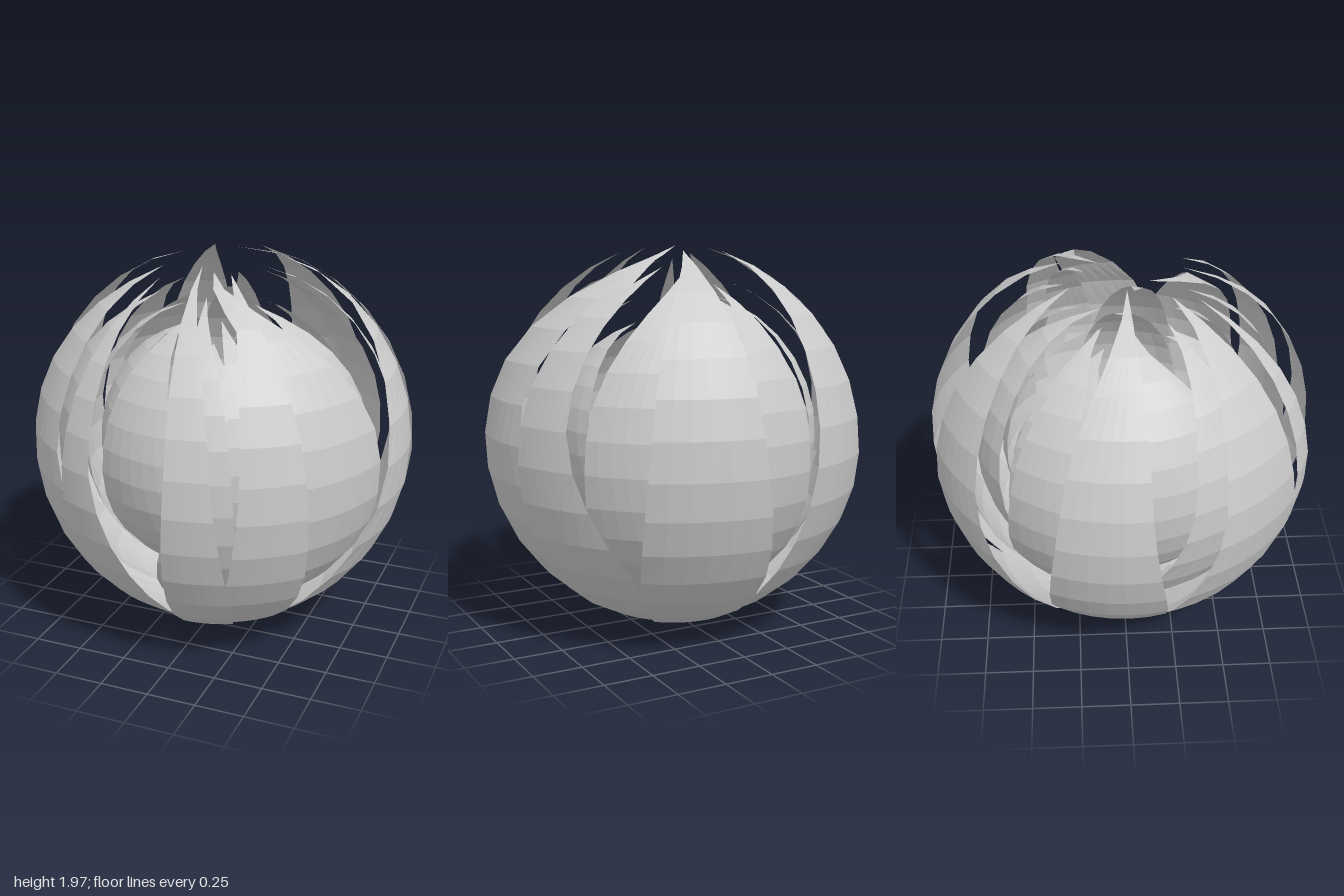
import * as THREE from 'three';

const material = new THREE.MeshStandardMaterial({ color: 0xcccccc, flatShading: true, side: THREE.DoubleSide });
const RAD = Math.PI / 180;
const ROWS = 15, COLS = 6;

// One petal: a spherical strip rising from the bottom pole and narrowing to a tip.
// Azimuths (0 = +x, 90 = +z) of both edges at the base and at the equator,
// then azimuth and polar angle (from the bottom) of the tip.
function petal(name, r, base, equator, tip, tipPolar) {
  const edge = (side, t) => {
    if (t < 90) return THREE.MathUtils.lerp(base[side], equator[side], THREE.MathUtils.smoothstep(t, 15, 105));
    const low = THREE.MathUtils.lerp(base[side], equator[side], THREE.MathUtils.smoothstep(t, 15, 105));
    return THREE.MathUtils.lerp(low, tip, Math.pow((t - 90) / (tipPolar - 90), 2.2));
  };
  const pos = [], index = [];
  for (let i = 0; i <= ROWS; i++) {
    const t = (i / ROWS) * tipPolar;
    const ring = r * Math.sin(t * RAD), y = 1 - r * Math.cos(t * RAD);
    for (let j = 0; j <= COLS; j++) {
      const a = THREE.MathUtils.lerp(edge(0, t), edge(1, t), j / COLS) * RAD;
      pos.push(ring * Math.cos(a), y, ring * Math.sin(a));
      if (i < ROWS && j < COLS) {
        const k = i * (COLS + 1) + j, n = k + COLS + 1;
        index.push(k, n, k + 1, k + 1, n, n + 1);
      }
    }
  }
  const g = new THREE.BufferGeometry();
  g.setAttribute('position', new THREE.Float32BufferAttribute(pos, 3));
  g.setIndex(index);
  g.computeVertexNormals();
  const mesh = new THREE.Mesh(g, material);
  mesh.name = name;
  return mesh;
}

// Layers from outside to inside: [radius, base, equator, tip azimuth, tip polar angle]
const LAYERS = {
  outerPetals: [
    [0.98, [-40, 42], [-13, 13], -70, 173],
    [0.99, [38, 72], [46, 64], 62, 160],
    [1.0, [62, 91], [72, 84], 88, 163],
    [0.98, [89, 130], [109, 120], 118, 156],
    [0.98, [92, 172], [124, 152], 135, 161],
    [0.98, [160, 215], [174, 200], 176, 168],
    [0.99, [208, 262], [228, 253], 240, 163],
    [1.0, [258, 312], [273, 303], 288, 162],
    [0.99, [300, 348], [328, 345], 305, 164],
  ],
  middlePetals: [
    [0.9, [0, 62], [10, 46], 90, 172],
    [0.88, [60, 105], [66, 82], 82, 158],
    [0.86, [125, 185], [132, 158], 140, 158],
    [0.84, [180, 240], [196, 222], 205, 160],
    [0.86, [235, 290], [248, 268], 262, 156],
    [0.88, [280, 330], [300, 325], 290, 160],
    [0.9, [315, 362], [333, 352], 310, 165],
  ],
  innerPetals: [
    [0.76, [-30, 40], [-12, 24], 20, 164],
    [0.74, [35, 85], [42, 66], 70, 158],
    [0.72, [75, 135], [90, 124], 112, 160],
    [0.73, [130, 200], [140, 182], 165, 165],
    [0.75, [190, 240], [195, 230], 215, 166],
    [0.77, [225, 300], [235, 278], 255, 172],
    [0.73, [285, 345], [295, 325], 300, 162],
  ],
  corePetals: [
    [0.62, [-40, 50], [-20, 30], 0, 160],
    [0.6, [40, 130], [50, 105], 80, 158],
    [0.64, [110, 190], [125, 175], 150, 163],
    [0.62, [180, 255], [188, 245], 215, 165],
    [0.63, [240, 325], [252, 312], 275, 164],
  ],
};

export function createModel() {
  const model = new THREE.Group();
  model.name = 'petalSphere';
  for (const [name, petals] of Object.entries(LAYERS)) {
    const layer = new THREE.Group();
    layer.name = name;
    petals.forEach((p, i) => layer.add(petal(`${name.replace('Petals', 'Petal')}${i + 1}`, ...p)));
    model.add(layer);
  }
  return model;
}
